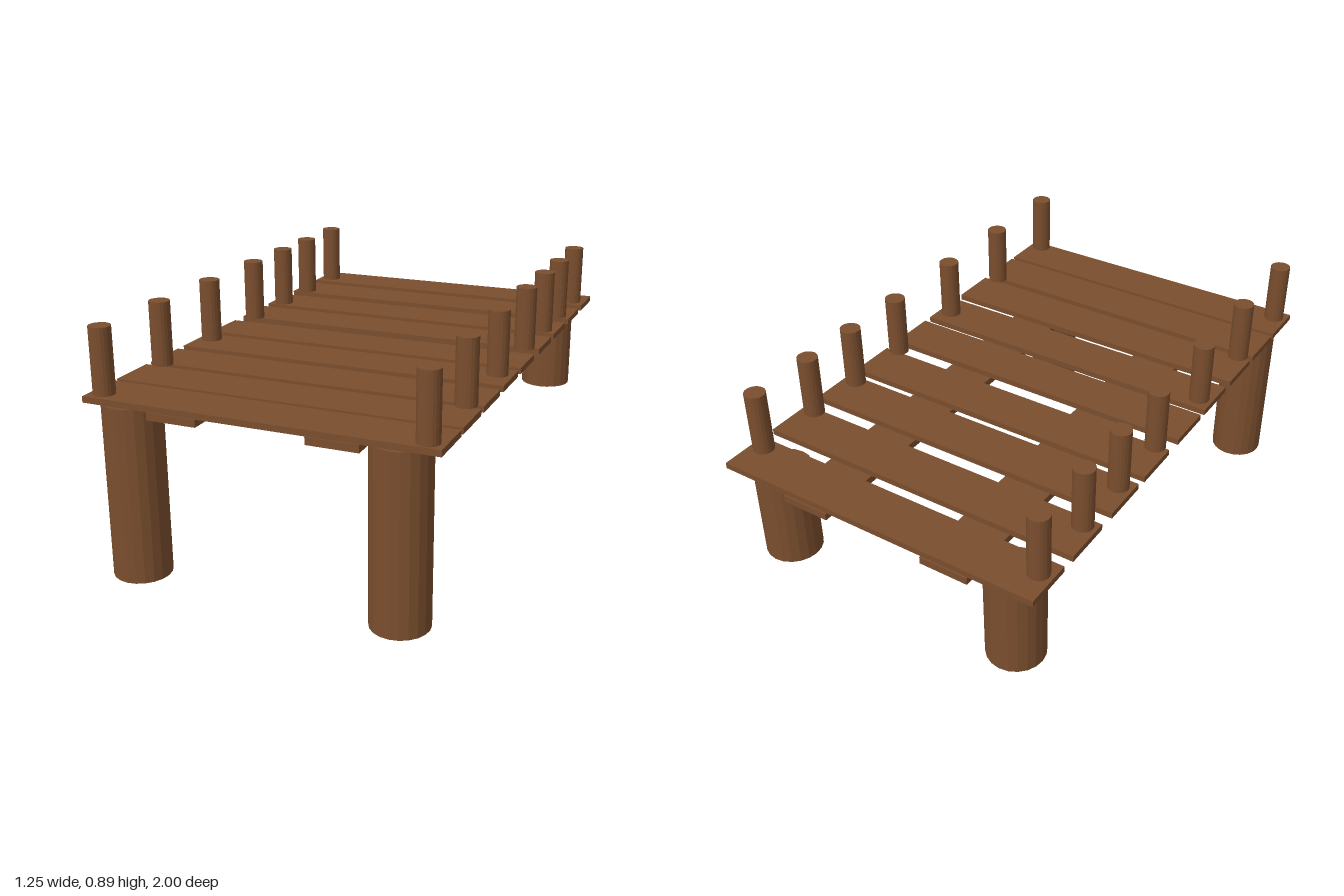
import * as THREE from 'three';

export function createModel() {
  const model = new THREE.Group();
  model.name = 'dock';
  const wood = new THREE.MeshStandardMaterial({ color: 0x7a4e2e, flatShading: true });
  wood.name = 'brown wood';

  const add = (name, geometry, x, y, z) => {
    const mesh = new THREE.Mesh(geometry, wood);
    mesh.name = name;
    mesh.position.set(x, y, z);
    model.add(mesh);
  };
  const box = (name, x, z, y0, y1, w, d) =>
    add(name, new THREE.BoxGeometry(w, y1 - y0, d), x, (y0 + y1) / 2, z);
  const pole = (name, x, z, y0, y1, r) =>
    add(name, new THREE.CylinderGeometry(r, r, y1 - y0, 20), x, (y0 + y1) / 2, z);

  // Deck planks, unevenly spaced
  [-0.908, -0.675, -0.43, -0.206, 0.045, 0.26, 0.482, 0.693, 0.893].forEach((z, i) =>
    box(`plank${i + 1}`, 0, z, 0.628, 0.65, 1.25, 0.181));

  // Long beams under the deck
  box('rightBeam', -0.295, -0.012, 0.597, 0.623, 0.181, 1.976);
  box('leftBeam', 0.271, -0.012, 0.597, 0.623, 0.181, 1.976);

  // Support piles: tall at the front, short at the back
  for (const [side, x] of [['Right', -0.49], ['Left', 0.468]]) {
    pole(`front${side}Pile`, x, 0.898, 0, 0.628, 0.102);
    pole(`back${side}Pile`, x, -0.888, 0.277, 0.628, 0.102);
  }

  // Short posts along both edges
  [-0.883, -0.62, -0.386, -0.122, 0.229, 0.576, 0.931].forEach((z, i) => {
    pole(`rightPost${i + 1}`, -0.573, z, 0.65, 0.884, 0.038);
    pole(`leftPost${i + 1}`, 0.571, z + 0.016, 0.653, 0.887, 0.038);
  });

  return model;
}
